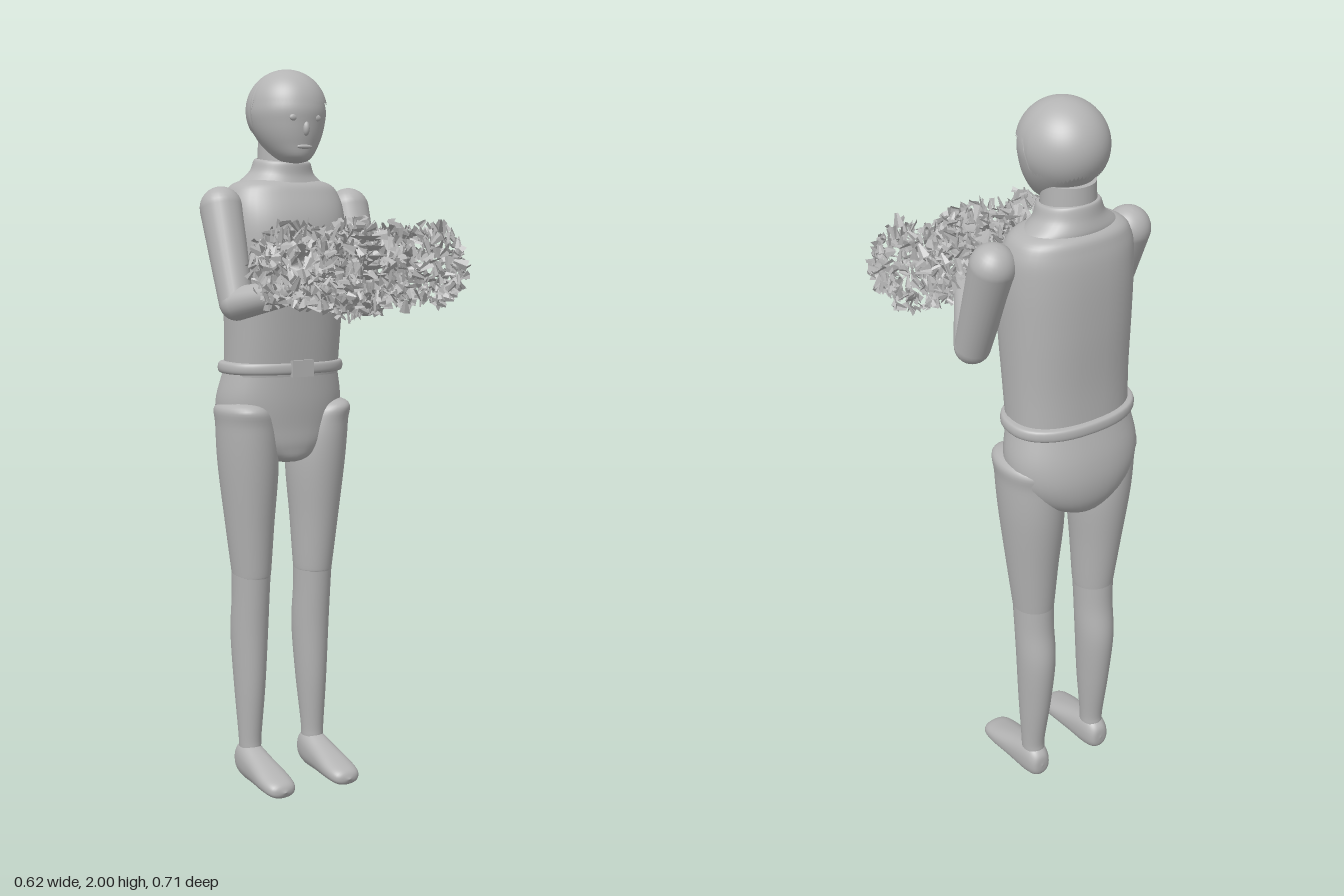
import * as THREE from 'three';

const clay = new THREE.MeshStandardMaterial({ color: 0xb4b4b4, side: THREE.DoubleSide });
clay.name = 'clay grey';

function add(parent, name, geometry, position = [0, 0, 0]) {
  const mesh = new THREE.Mesh(geometry, clay);
  mesh.name = name;
  mesh.position.set(...position);
  parent.add(mesh);
  return mesh;
}

// Smooth skin over rings listed upward: [y, centreX, centreZ, radiusX, radiusZ]
function loft(rings, power = 2, sides = 40, steps = 6) {
  const centres = new THREE.CatmullRomCurve3(rings.map(r => new THREE.Vector3(r[1], r[0], r[2])), false, 'catmullrom', 0.5);
  const radii = new THREE.CatmullRomCurve3(rings.map(r => new THREE.Vector3(r[3], 0, r[4])), false, 'catmullrom', 0.5);
  const rows = (rings.length - 1) * steps;
  const pos = [], index = [];
  const bend = v => Math.sign(v) * Math.abs(v) ** (2 / power);
  for (let i = 0; i <= rows; i++) {
    const c = centres.getPoint(i / rows), r = radii.getPoint(i / rows);
    for (let j = 0; j < sides; j++) {
      const a = (j / sides) * Math.PI * 2;
      pos.push(c.x + Math.max(r.x, 0) * bend(Math.cos(a)), c.y, c.z + Math.max(r.z, 0) * bend(Math.sin(a)));
      if (i === rows) continue;
      const p = i * sides + j, q = i * sides + (j + 1) % sides;
      index.push(p, p + sides, q, q, p + sides, q + sides);
    }
  }
  const g = new THREE.BufferGeometry();
  g.setAttribute('position', new THREE.Float32BufferAttribute(pos, 3));
  g.setIndex(index);
  g.computeVertexNormals();
  return g;
}

// Tapered limb with round ends between two points
function limb(parent, name, a, b, ra, rb) {
  const from = new THREE.Vector3(...a), to = new THREE.Vector3(...b);
  const len = from.distanceTo(to), pts = [];
  for (let i = 0; i <= 8; i++) {
    const t = (i / 16) * Math.PI;
    pts.push(new THREE.Vector2(ra * Math.sin(t), -ra * Math.cos(t)));
  }
  for (let i = 0; i <= 8; i++) {
    const t = (i / 16) * Math.PI;
    pts.push(new THREE.Vector2(rb * Math.cos(t), len + rb * Math.sin(t)));
  }
  const mesh = add(parent, name, new THREE.LatheGeometry(pts, 28), a);
  mesh.quaternion.setFromUnitVectors(new THREE.Vector3(0, 1, 0), to.sub(from).normalize());
  return mesh;
}

// Skull cap with a high hairline in front and a low one at the sides and back
function hairGeometry() {
  const g = new THREE.SphereGeometry(1, 64, 20), p = g.attributes.position, uv = g.attributes.uv;
  for (let i = 0; i < p.count; i++) {
    const phi = uv.getX(i) * Math.PI * 2, v = 1 - uv.getY(i);
    const front = THREE.MathUtils.smoothstep(Math.sin(phi), -0.12, 0.1);
    const wave = 0.006 * Math.sin(phi * 6);
    const edge = Math.acos((THREE.MathUtils.lerp(1.83 + wave, 1.905, front) - 1.89) / 0.11);
    const t = v * edge;
    p.setXYZ(i, -0.109 * Math.cos(phi) * Math.sin(t), 0.11 * Math.cos(t), 0.118 * Math.sin(phi) * Math.sin(t));
  }
  g.computeVertexNormals();
  return g;
}

// Seeded generator for the flower petals
function seeded(seed) {
  return () => (seed = (seed * 16807) % 2147483647) / 2147483647;
}

// Ball of loose folded petals; hollow leaves an open shaft through the middle
function petalBall(radius, count, hollow, rnd) {
  const pos = [], m = new THREE.Matrix4(), q = new THREE.Quaternion();
  for (let i = 0; i < count; i++) {
    const y = rnd() * 2 - 1, a = rnd() * Math.PI * 2, s = Math.sqrt(1 - y * y), d = 0.68 + 0.28 * rnd();
    const c = new THREE.Vector3(s * Math.cos(a) * radius[0], y * radius[1], s * Math.sin(a) * radius[2]).multiplyScalar(d);
    if (Math.hypot(c.x, c.z) < hollow) continue;
    q.setFromEuler(new THREE.Euler(rnd() * 6.28, rnd() * 6.28, rnd() * 6.28));
    const k = 0.011 + 0.009 * rnd();
    m.compose(c, q, new THREE.Vector3(k, k, k));
    const [l0, r0, m0, l1, r1, m1] = [[-0.25, -1, 0], [0.25, -1, 0], [0, -1, 0.1], [-0.8, 1, 0], [0.8, 1, 0], [0, 1, 0.35]]
      .map(v => new THREE.Vector3(...v).applyMatrix4(m));
    for (const v of [l0, m0, m1, l0, m1, l1, m0, r0, r1, m0, r1, m1]) pos.push(v.x, v.y, v.z);
  }
  const g = new THREE.BufferGeometry();
  g.setAttribute('position', new THREE.Float32BufferAttribute(pos, 3));
  g.computeVertexNormals();
  return g;
}

export function createModel() {
  const model = new THREE.Group();
  model.name = 'figureWithFlowers';

  // Torso, neck and collar
  add(model, 'torso', loft([
    [1.17, 0, -0.205, 0.165, 0.11], [1.3, 0, -0.195, 0.168, 0.117], [1.45, 0, -0.188, 0.173, 0.127],
    [1.58, 0, -0.187, 0.175, 0.126], [1.66, 0, -0.195, 0.165, 0.108], [1.7, 0, -0.2, 0.125, 0.082],
    [1.715, 0, -0.2, 0, 0],
  ], 2.4));
  add(model, 'neck', new THREE.CylinderGeometry(0.066, 0.072, 0.14, 32), [0, 1.74, -0.195]);
  const collar = add(model, 'collar', loft([
    [-0.035, 0, 0.01, 0.142, 0.088], [-0.015, 0, 0.005, 0.128, 0.088], [0.015, 0, 0, 0.092, 0.08],
    [0.045, 0, -0.002, 0.079, 0.076], [0.05, 0, -0.002, 0.07, 0.068],
  ]), [0, 1.71, -0.198]);
  collar.rotation.x = 0.12;

  // Belt and pelvis
  add(model, 'belt', loft([
    [1.175, 0, -0.207, 0.165, 0.108], [1.179, 0, -0.207, 0.179, 0.12], [1.192, 0, -0.207, 0.183, 0.123],
    [1.206, 0, -0.207, 0.179, 0.12], [1.21, 0, -0.207, 0.165, 0.108],
  ], 2.3));
  add(model, 'buckle', new THREE.BoxGeometry(0.066, 0.046, 0.014), [0, 1.193, -0.084]);
  add(model, 'pelvis', loft([
    [0.922, 0, -0.215, 0, 0], [0.93, 0, -0.215, 0.055, 0.085], [0.97, 0, -0.222, 0.13, 0.112],
    [1.03, 0, -0.226, 0.174, 0.121], [1.1, 0, -0.22, 0.186, 0.121], [1.19, 0, -0.206, 0.168, 0.11],
  ], 2.2));

  // Head with hair and face
  const head = new THREE.Group();
  head.name = 'head';
  model.add(head);
  add(head, 'face', loft([
    [1.745, 0, -0.14, 0, 0], [1.757, 0, -0.138, 0.042, 0.057], [1.8, 0, -0.152, 0.078, 0.086],
    [1.85, 0, -0.166, 0.1, 0.108], [1.9, 0, -0.17, 0.104, 0.113], [1.96, 0, -0.17, 0.078, 0.085],
    [1.99, 0, -0.17, 0, 0],
  ]));
  add(head, 'hair', hairGeometry(), [0, 1.89, -0.17]);
  for (const s of [-1, 1]) {
    const eye = add(head, 'eye', new THREE.SphereGeometry(1, 16, 12), [s * 0.036, 1.866, -0.066]);
    eye.scale.set(0.012, 0.009, 0.006);
  }
  add(head, 'nose', new THREE.SphereGeometry(1, 16, 12), [0, 1.838, -0.063]).scale.set(0.01, 0.02, 0.012);
  add(head, 'mouth', new THREE.SphereGeometry(1, 16, 12), [0, 1.79, -0.07]).scale.set(0.024, 0.006, 0.007);

  // Arms and legs, mirrored
  for (const s of [1, -1]) {
    const side = s > 0 ? 'left' : 'right';
    const arm = new THREE.Group();
    arm.name = side + 'Arm';
    model.add(arm);
    limb(arm, 'upperArm', [s * 0.2, 1.627, -0.172], [s * 0.203, 1.378, -0.083], 0.058, 0.046);
    limb(arm, 'forearm', [s * 0.203, 1.376, -0.08], [s * 0.112, 1.415, 0.09], 0.046, 0.032);
    limb(arm, 'hand', [s * 0.112, 1.415, 0.09], [s * 0.075, 1.43, 0.165], 0.032, 0.024);

    const leg = new THREE.Group();
    leg.name = side + 'Leg';
    model.add(leg);
    add(leg, 'thigh', loft([
      [0.6, s * 0.1, -0.202, 0.052, 0.06], [0.62, s * 0.1, -0.202, 0.055, 0.063], [0.75, s * 0.104, -0.202, 0.067, 0.077],
      [0.92, s * 0.108, -0.202, 0.082, 0.097], [1.03, s * 0.118, -0.199, 0.078, 0.101],
      [1.085, s * 0.135, -0.197, 0.06, 0.094], [1.105, s * 0.14, -0.195, 0, 0],
    ]));
    add(leg, 'shin', loft([
      [0.1, s * 0.103, -0.21, 0.031, 0.035], [0.14, s * 0.103, -0.21, 0.033, 0.036], [0.28, s * 0.101, -0.214, 0.043, 0.052],
      [0.43, s * 0.1, -0.217, 0.051, 0.062], [0.54, s * 0.1, -0.207, 0.052, 0.06], [0.625, s * 0.1, -0.202, 0.054, 0.062],
    ]));
    // Foot is lofted from heel to toe, then laid along z
    const foot = add(leg, 'foot', loft([
      [-0.262, 0, -0.058, 0, 0], [-0.254, 0, -0.058, 0.026, 0.036], [-0.215, 0, -0.06, 0.038, 0.054],
      [-0.14, 0, -0.049, 0.043, 0.043], [-0.06, 0, -0.036, 0.047, 0.03], [-0.012, 0, -0.028, 0.037, 0.021],
      [0.003, 0, -0.026, 0, 0],
    ], 2.3), [s * 0.104, 0, 0]);
    foot.rotation.x = Math.PI / 2;
  }

  // Armful of three flower heads
  const flowers = new THREE.Group();
  flowers.name = 'flowers';
  model.add(flowers);
  const rnd = seeded(4127);
  add(flowers, 'middleFlower', petalBall([0.13, 0.135, 0.135], 520, 0, rnd), [0, 1.475, 0.2]);
  for (const s of [-1, 1]) {
    add(flowers, s > 0 ? 'leftFlower' : 'rightFlower', petalBall([0.105, 0.125, 0.135], 380, 0.045, rnd), [s * 0.2, 1.48, 0.215]);
    add(flowers, 'joiningPetals', petalBall([0.075, 0.12, 0.13], 130, 0, rnd), [s * 0.11, 1.475, 0.205]);
  }

  // Stack of shallow curved petals at the front of the middle flower
  for (let i = 0; i < 5; i++) {
    const dish = add(flowers, 'curvedPetal', new THREE.SphereGeometry(0.06, 20, 4, 0, Math.PI * 2, Math.PI * 0.68, Math.PI * 0.32), [0, 1.475 + i * 0.024, 0.25]);
    dish.scale.y = 0.5;
  }
  const leaf = add(flowers, 'broadPetal', new THREE.ConeGeometry(0.045, 0.07, 8, 1, true, 0, Math.PI), [-0.2, 1.48, 0.235]);
  leaf.rotation.x = -Math.PI / 2;

  return model;
}
